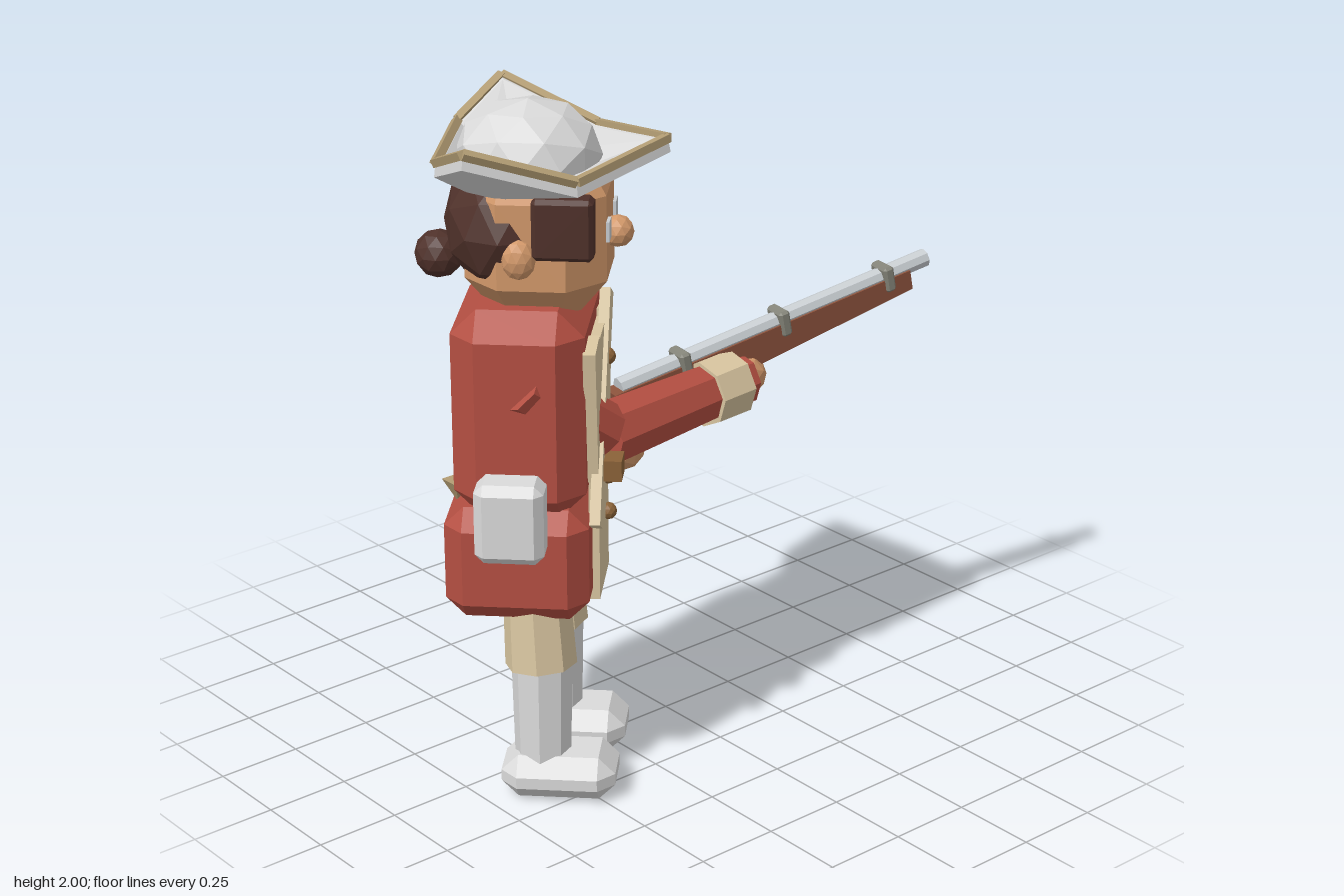
import * as THREE from 'three';
import { ConvexGeometry } from 'three/addons/geometries/ConvexGeometry.js';

const mat = (name, color) => {
  const m = new THREE.MeshStandardMaterial({ color, flatShading: true });
  m.name = name;
  return m;
};
const V = (x, y, z) => new THREE.Vector3(x, y, z);

export function createModel() {
  const red = mat('coat red', 0xb44f42), white = mat('white', 0xdadada), cream = mat('cream cloth', 0xd8c5a0);
  const skin = mat('skin', 0xd2986a), hair = mat('dark hair', 0x4f312a), wood = mat('stock wood', 0x8b523c);
  const trim = mat('hat trim', 0xb39d74), brown = mat('brown leather', 0x8a6238);
  const steel = mat('pale steel', 0xc8cdd1), band = mat('dark metal', 0x85857a);
  white.side = THREE.DoubleSide;

  const root = new THREE.Group();
  // Body faces halfway between front and the model's left
  const body = new THREE.Group();
  body.name = 'body';
  body.position.set(-0.5, 0, 0);
  body.rotation.y = Math.PI / 4;
  root.add(body);

  const add = (parent, name, geo, material, x = 0, y = 0, z = 0) => {
    const m = new THREE.Mesh(geo, material);
    m.name = name;
    m.position.set(x, y, z);
    parent.add(m);
    return m;
  };
  // Box with every edge cut off
  const chamferBox = (w, h, d, c) => {
    const pts = [];
    for (const sx of [-1, 1]) for (const sy of [-1, 1]) for (const sz of [-1, 1]) {
      const a = w / 2, b = h / 2, e = d / 2;
      pts.push(V(sx * a, sy * (b - c), sz * (e - c)), V(sx * (a - c), sy * b, sz * (e - c)),
        V(sx * (a - c), sy * (b - c), sz * e));
    }
    return new ConvexGeometry(pts);
  };
  const ball = (r, sx = 1, sy = 1, sz = 1) => new THREE.IcosahedronGeometry(r, 1).scale(sx, sy, sz);
  // Tapered rod from a to b
  const rod = (parent, name, a, b, ra, rb, material, sides = 8) => {
    const dir = b.clone().sub(a);
    const m = add(parent, name, new THREE.CylinderGeometry(rb, ra, dir.length(), sides), material);
    m.position.copy(a).add(b).multiplyScalar(0.5);
    m.quaternion.setFromUnitVectors(V(0, 1, 0), dir.normalize());
    return m;
  };

  // Legs and boots
  for (const s of [-1, 1]) {
    add(body, 'shoe', chamferBox(0.22, 0.13, 0.325, 0.048), white, s * 0.143 - 0.008, 0.065, 0.095);
    rod(body, 'gaiter', V(s * 0.145 - 0.005, 0.1, 0.045), V(s * 0.14 - 0.005, 0.41, 0.045), 0.08, 0.087, white);
    rod(body, 'breeches', V(s * 0.142 - 0.018, 0.4, 0.045), V(s * 0.125 - 0.015, 0.66, 0.03), 0.102, 0.093, cream);
  }

  // Coat
  add(body, 'coatSkirt', chamferBox(0.53, 0.33, 0.4, 0.055), red, -0.01, 0.735, -0.01);
  add(body, 'coatTorso', chamferBox(0.52, 0.6, 0.365, 0.072), red, -0.01, 1.17, 0);

  // Waistcoat, lapels, cross belt
  add(body, 'waistcoat', new THREE.BoxGeometry(0.24, 0.76, 0.03), cream, -0.01, 0.97, 0.195);
  for (const s of [-1, 1]) {
    const lapel = add(body, 'lapel', new THREE.BoxGeometry(0.11, 0.4, 0.035), cream, s * 0.13 - 0.005, 1.165, 0.195);
    lapel.rotation.z = -s * 0.14;
  }
  const belt = add(body, 'crossBelt', new THREE.BoxGeometry(0.085, 0.66, 0.03), cream, -0.035, 1.13, 0.208);
  belt.rotation.z = -0.52;
  add(body, 'beltBuckle', new THREE.BoxGeometry(0.075, 0.06, 0.05), brown, -0.115, 0.99, 0.25);
  for (const y of [0.78, 0.89, 1.02, 1.25])
    add(body, 'button', ball(0.025), brown, 0.052, y, 0.216);
  const knot = add(body, 'backStrap', new THREE.ConeGeometry(0.045, 0.07, 4), trim, -0.08, 0.885, -0.19);
  knot.rotation.z = Math.PI;
  add(body, 'hipPouch', chamferBox(0.125, 0.23, 0.19, 0.025), white, -0.325, 0.915, -0.01);

  // Head: stacked octagons
  const headPts = [];
  for (const [y, k, f] of [[1.43, 0.55, 0.16], [1.53, 1, 0.235], [1.77, 1, 0.235], [1.83, 0.85, 0.2]]) {
    const w = 0.2 * k, b = -0.15 * k, c = 0.1 * k;
    for (const s of [-1, 1])
      headPts.push(V(s * w, y, f - c), V(s * (w - c), y, f), V(s * w, y, b + c), V(s * (w - c), y, b));
  }
  add(body, 'head', new ConvexGeometry(headPts), skin, -0.015);
  add(body, 'nose', ball(0.045), skin, -0.015, 1.64, 0.255);
  for (const s of [-1, 1]) {
    add(body, 'eye', new THREE.BoxGeometry(0.05, 0.055, 0.009), steel, -0.02 + s * 0.09, 1.675, 0.24);
    add(body, 'ear', ball(0.052, 0.7, 1.1, 0.9), skin, -0.015 + s * 0.2, 1.62, 0.01);
    add(body, 'sideHair', chamferBox(0.075, 0.17, 0.165, 0.012), hair, -0.015 + s * 0.193, 1.71, 0.13);
  }
  add(body, 'backHair', ball(0.2, 1.12, 0.98, 0.88), hair, -0.015, 1.665, -0.042);
  add(body, 'hairBun', ball(0.068), hair, -0.01, 1.56, -0.235);

  // Three cornered hat: rim runs from the front corner around the left
  const hat = new THREE.Group();
  hat.name = 'hat';
  hat.position.set(-0.015, 0, 0.005);
  body.add(hat);
  const rim = [V(0, 1.905, 0.385), V(0.265, 1.86, 0.17), V(0.37, 1.96, -0.11), V(0.19, 1.88, -0.21),
    V(-0.19, 1.88, -0.21), V(-0.37, 1.96, -0.11), V(-0.265, 1.86, 0.17)];
  const ring = (p, r, y) => { const l = Math.hypot(p.x, p.z); return V(p.x * r / l, y, p.z * r / l); };
  const loops = [
    rim.map(p => ring(p, 0.19, 1.78)),
    rim.map(p => V(p.x * 1.02, p.y - 0.04, p.z * 1.02)),
    rim,
    rim.map(p => V(p.x * 0.93, p.y - 0.005, p.z * 0.93)),
    rim.map(p => ring(p, 0.17, 1.82)),
  ];
  const n = rim.length, pos = [], idx = [];
  loops.forEach(l => l.forEach(p => pos.push(p.x, p.y, p.z)));
  for (let k = 0; k < loops.length - 1; k++) for (let i = 0; i < n; i++) {
    const j = (i + 1) % n, a = k * n + i, b = k * n + j;
    idx.push(a, b, b + n, a, b + n, a + n);
  }
  const brim = new THREE.BufferGeometry();
  brim.setAttribute('position', new THREE.Float32BufferAttribute(pos, 3));
  brim.setIndex(idx);
  brim.computeVertexNormals();
  add(hat, 'hatBrim', brim, white);
  add(hat, 'hatCrown', ball(0.2, 1, 0.75, 1), white, 0.015, 1.85, 0.01);
  rim.forEach((p, i) => rod(hat, 'hatTrim', p, rim[(i + 1) % n], 0.016, 0.016, trim, 4));

  // Right arm, reaching across to the fore stock
  rod(root, 'rightUpperArm', V(-0.655, 1.27, 0.155), V(-0.375, 1.06, 0.17), 0.085, 0.085, red);
  rod(root, 'rightForearm', V(-0.37, 1.035, 0.15), V(0.21, 1.04, 0.09), 0.095, 0.08, red);
  rod(root, 'rightCuff', V(0.045, 1.037, 0.105), V(0.17, 1.04, 0.095), 0.098, 0.1, cream);
  add(root, 'rightHand', ball(0.075, 1.1, 0.9, 0.95), skin, 0.215, 1.045, 0.08);

  // Left arm, bent back to the grip
  rod(root, 'leftUpperArm', V(-0.345, 1.38, -0.13), V(-0.24, 1.0, -0.22), 0.085, 0.085, red);
  rod(root, 'leftForearm', V(-0.24, 1.0, -0.25), V(-0.23, 0.955, 0.02), 0.085, 0.075, red);
  rod(root, 'leftCuff', V(-0.232, 0.965, -0.05), V(-0.23, 0.95, 0.025), 0.092, 0.092, cream);
  add(root, 'leftHand', ball(0.075), skin, -0.23, 0.945, 0.07);

  // Musket: built along +x, then aimed
  const gun = new THREE.Group();
  gun.name = 'musket';
  const from = V(-0.18, 1.088, 0.005), aim = V(0.855, 1.29, 0.183).sub(from), len = aim.length();
  gun.position.copy(from);
  gun.rotation.set(0, -Math.atan2(aim.z, aim.x), Math.asin(aim.y / len), 'YZX');
  root.add(gun);
  rod(gun, 'barrel', V(0, 0, 0), V(len, 0, 0), 0.028, 0.028, steel);
  const stock = new THREE.Shape([[-0.03, -0.005], [len - 0.075, -0.005], [len - 0.075, -0.065], [0.4, -0.1], [-0.03, -0.12]]
    .map(p => new THREE.Vector2(...p)));
  const stockGeo = new THREE.ExtrudeGeometry(stock, { depth: 0.065, bevelEnabled: false });
  add(gun, 'stock', stockGeo, wood, 0, 0, -0.0325);
  for (const x of [0.21, 0.55, 0.92])
    add(gun, 'barrelBand', chamferBox(0.035, 0.08, 0.08, 0.008), band, x, -0.005, 0);

  return root;
}
